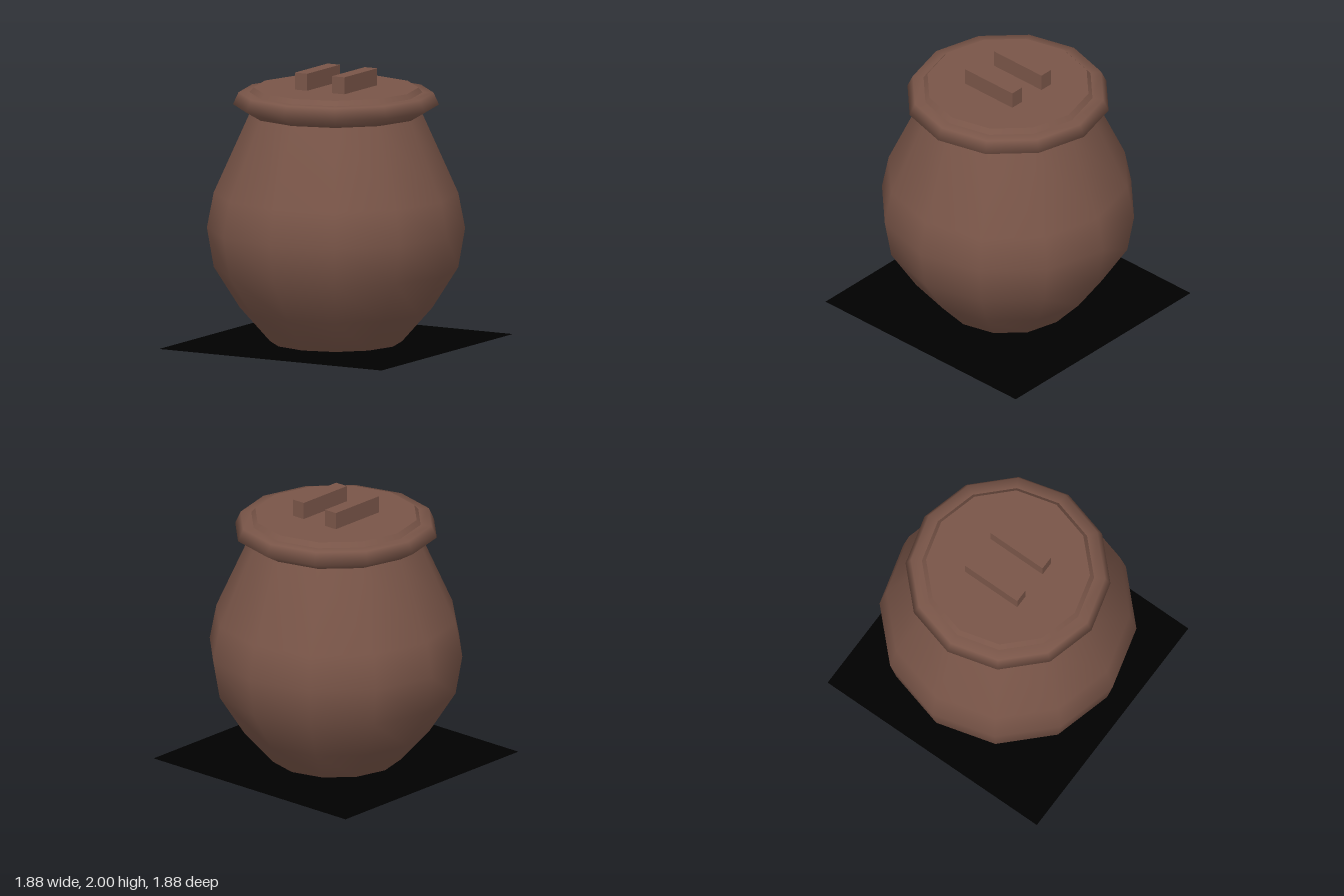
import * as THREE from 'three';

const SIDES = 12;

export function createModel() {
  const model = new THREE.Group();
  model.name = 'lidded pot';

  const clay = new THREE.MeshStandardMaterial({ color: 0x795548 });
  clay.name = 'brown clay';
  const black = new THREE.MeshStandardMaterial({ color: 0x000000, side: THREE.DoubleSide });
  black.name = 'black base';

  const add = (name, geometry, material, parent = model) => {
    const mesh = new THREE.Mesh(geometry, material);
    mesh.name = name;
    parent.add(mesh);
    return mesh;
  };
  const turned = (...profile) =>
    new THREE.LatheGeometry(profile.map(([r, y]) => new THREE.Vector2(r, y)), SIDES);

  // Square ground plate
  add('basePlate', new THREE.PlaneGeometry(1.88, 1.88).rotateX(-Math.PI / 2), black);

  // Pot: rounded belly and flat bottom
  add('potBody', turned([0.48, 0.002], [0.7, 0.25], [0.89, 0.55], [0.94, 0.84], [0.89, 1.1], [0.63, 1.68]), clay);
  add('potBottom', turned([0, 0.002], [0.48, 0.002]), clay);

  // Lid: flared rim, raised step and flat top
  const lid = new THREE.Group();
  lid.name = 'lid';
  model.add(lid);
  add('lidUnderside', turned([0, 1.68], [0.63, 1.68]), clay, lid);
  add('lidRim', turned([0.63, 1.68], [0.75, 1.75], [0.71, 1.838], [0.63, 1.84]), clay, lid);
  add('lidStep', turned([0.63, 1.84], [0.6, 1.875]), clay, lid);
  add('lidTop', turned([0.6, 1.875], [0, 1.875]), clay, lid);

  // Two parallel grip bars
  for (const side of [-1, 1]) {
    const bar = add(side > 0 ? 'leftHandle' : 'rightHandle', new THREE.BoxGeometry(0.105, 0.13, 0.47), clay, lid);
    bar.position.set(side * 0.157, 1.935, 0);
  }

  return model;
}
